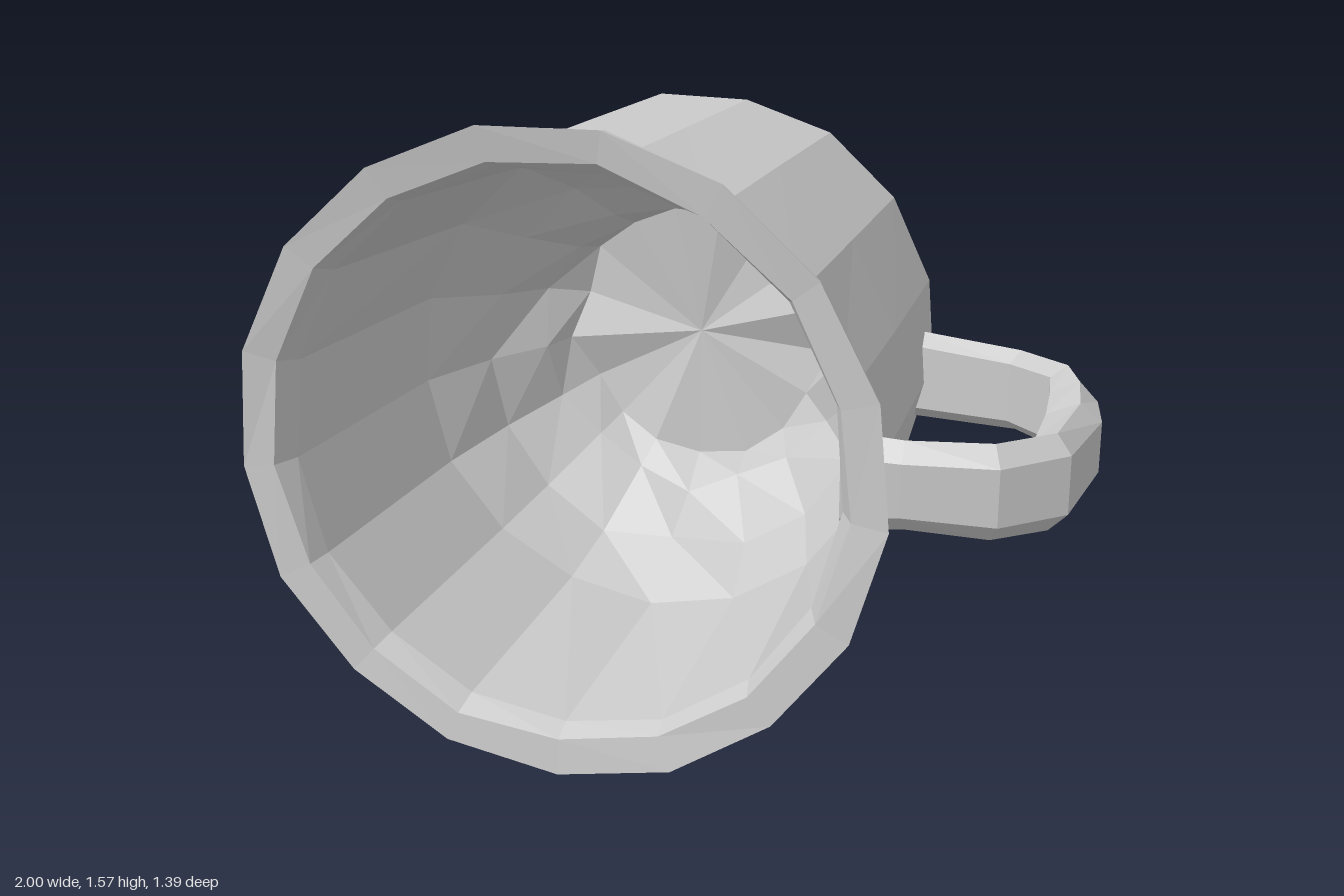
import * as THREE from 'three';

const material = new THREE.MeshStandardMaterial({ color: 0xcccccc, flatShading: true, side: THREE.DoubleSide });

function addMesh(group, geometry, name) {
  const mesh = new THREE.Mesh(geometry, material);
  mesh.name = name;
  group.add(mesh);
  return mesh;
}

// Slight hand-made unevenness, the same for coinciding vertices
function roughen(geometry, amountAt) {
  const p = geometry.attributes.position;
  const v = new THREE.Vector3();
  for (let i = 0; i < p.count; i++) {
    v.fromBufferAttribute(p, i);
    const a = amountAt(v);
    const wave = Math.sin(17 * v.x + 23 * v.y + 31 * v.z);
    const wave2 = Math.sin(29 * v.x - 19 * v.y + 13 * v.z);
    const s = 1 + a * wave;
    p.setXYZ(i, v.x * s, v.y * s, v.z + a * 0.5 * wave2);
  }
  geometry.computeVertexNormals();
  return geometry;
}

// Closed wall of the mug: [radius, z] from the base, over the lip, to the inner floor
function createCup() {
  const profile = [
    [0, -0.695], [0.59, -0.695], [0.665, -0.665], [0.7, -0.6], [0.705, 0],
    [0.705, 0.635], [0.735, 0.655], [0.79, 0.665], [0.795, 0.69], [0.71, 0.68],
    [0.685, 0.62], [0.66, -0.05], [0.56, -0.27], [0.44, -0.43], [0.38, -0.54], [0, -0.56],
  ].map(([r, z]) => new THREE.Vector2(r, z));
  const geometry = new THREE.LatheGeometry(profile, 17).rotateX(Math.PI / 2);
  return roughen(geometry, (v) => {
    const r = Math.hypot(v.x, v.y);
    const innerSlope = r > 0.3 && r < 0.63 && v.z > -0.56;
    return innerSlope ? 0.05 : r > 0.75 ? 0.005 : 0.008;
  });
}

// Handle: six-sided sections between the outer and inner outline
function createHandle() {
  // outer x, outer z, inner x, inner z
  const sections = [
    [0.44, 0.5, 0.44, 0.4], [0.58, 0.485, 0.58, 0.395], [0.8, 0.45, 0.76, 0.385],
    [0.95, 0.345, 0.86, 0.32], [1.0, 0.03, 0.865, 0.06], [0.98, -0.12, 0.86, -0.1],
    [0.92, -0.27, 0.85, -0.22], [0.77, -0.43, 0.73, -0.36], [0.44, -0.52, 0.44, -0.43],
  ];
  // blend from outer to inner outline, height
  const ring = [[0, 0.67], [0, 0.81], [0.4, 0.86], [1, 0.83], [1, 0.66], [0.5, 0.625]];
  const n = ring.length;
  const positions = [];
  const index = [];
  sections.forEach(([ox, oz, ix, iz], s) => {
    for (const [t, y] of ring) {
      positions.push(ox + (ix - ox) * t, y + 0.008 * Math.sin(s * 2.3 + y * 9), oz + (iz - oz) * t);
    }
    if (s === 0) return;
    for (let k = 0; k < n; k++) {
      const a = (s - 1) * n + k;
      const b = (s - 1) * n + ((k + 1) % n);
      index.push(a, a + n, b, b, a + n, b + n);
    }
  });
  const geometry = new THREE.BufferGeometry();
  geometry.setAttribute('position', new THREE.Float32BufferAttribute(positions, 3));
  geometry.setIndex(index);
  geometry.computeVertexNormals();
  return geometry;
}

export function createModel() {
  const model = new THREE.Group();
  model.name = 'mug';
  addMesh(model, createCup(), 'cup').position.set(-0.205, 0.795, 0);
  addMesh(model, createHandle(), 'handle');
  return model;
}
